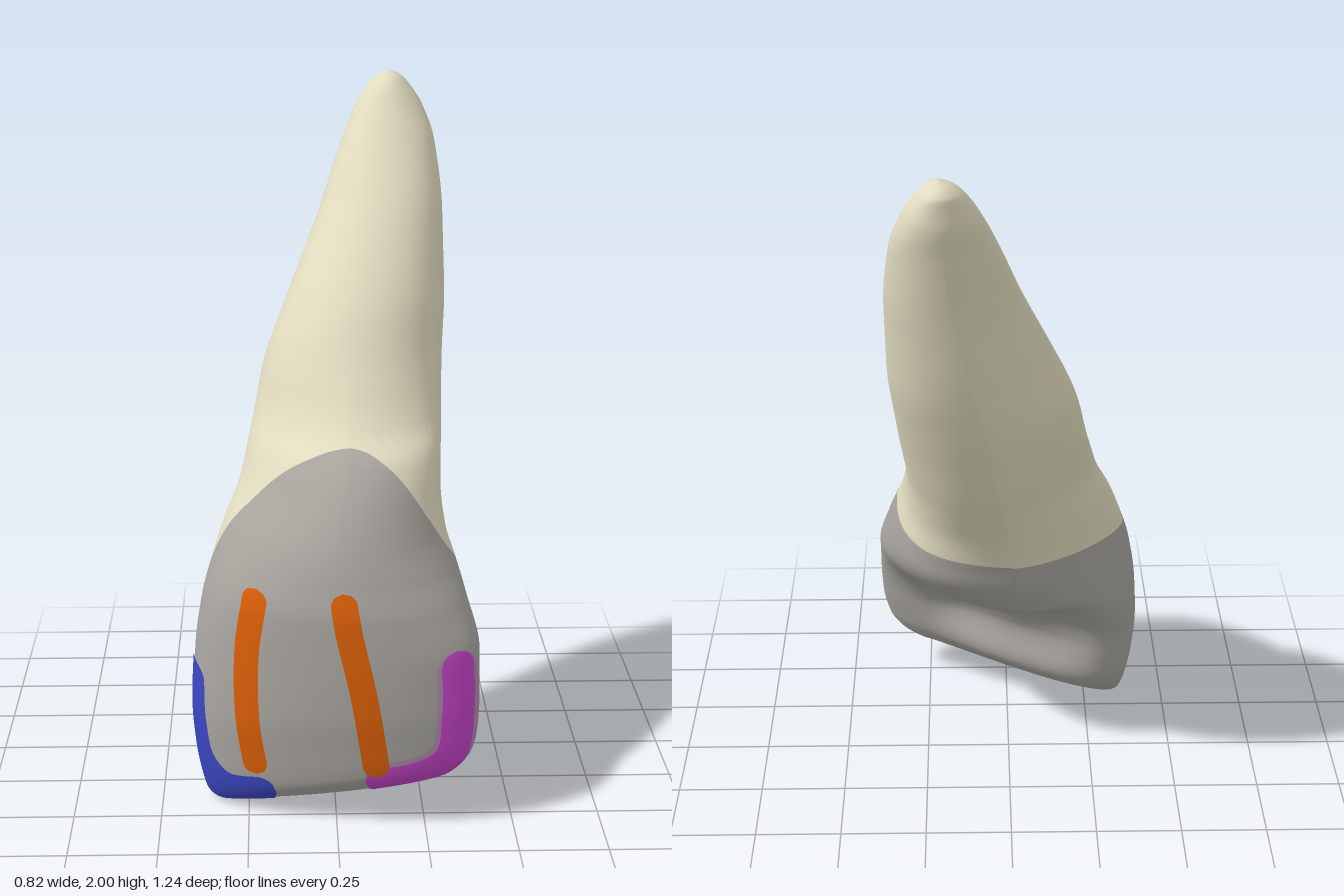
import * as THREE from 'three';

const paint = (name, color) => new THREE.MeshStandardMaterial({ name, color });

// Horizontal sections: height, min x, max x, front z, side z, back z
const LEVELS = [
  [0, -0.31, 0.27, 0.435, 0.435, 0.435],
  [0.01, -0.345, 0.305, 0.495, 0.435, 0.385],
  [0.03, -0.363, 0.34, 0.54, 0.435, 0.35],
  [0.08, -0.38, 0.378, 0.57, 0.435, 0.3],
  [0.18, -0.4, 0.4, 0.585, 0.425, 0.235],
  [0.3, -0.41, 0.405, 0.597, 0.405, 0.16],
  [0.45, -0.403, 0.405, 0.6, 0.375, -0.04],
  [0.6, -0.38, 0.375, 0.595, 0.33, -0.15],
  [0.7, -0.35, 0.35, 0.575, 0.28, -0.18],
  [0.8, -0.315, 0.318, 0.54, 0.225, -0.22],
  [0.9, -0.27, 0.308, 0.485, 0.16, -0.28],
  [1.0, -0.245, 0.315, 0.4, 0.07, -0.34],
  [1.06, -0.23, 0.32, 0.295, 0.01, -0.37],
  [1.2, -0.2, 0.33, 0.18, -0.1, -0.435],
  [1.4, -0.12, 0.345, 0.04, -0.22, -0.505],
  [1.6, -0.035, 0.345, -0.13, -0.34, -0.555],
  [1.8, 0.04, 0.325, -0.315, -0.45, -0.6],
  [1.9, 0.085, 0.29, -0.4, -0.51, -0.62],
  [1.96, 0.125, 0.25, -0.45, -0.535, -0.62],
  [1.985, 0.155, 0.225, -0.485, -0.545, -0.6],
  [2.0, 0.19, 0.19, -0.545, -0.545, -0.545],
];
const { clamp, smoothstep, lerp } = THREE.MathUtils;

// Monotone cubic interpolation between the sections
function section(t) {
  let i = 0;
  while (i < LEVELS.length - 2 && t > LEVELS[i + 1][0]) i++;
  const h = LEVELS[i + 1][0] - LEVELS[i][0];
  const q = clamp((t - LEVELS[i][0]) / h, 0, 1);
  const secant = (j, c) => {
    j = clamp(j, 0, LEVELS.length - 2);
    return (LEVELS[j + 1][c] - LEVELS[j][c]) / (LEVELS[j + 1][0] - LEVELS[j][0]);
  };
  const slope = (j, c) => {
    const a = secant(j - 1, c), b = secant(j, c);
    return a * b > 0 ? (2 * a * b) / (a + b) : 0;
  };
  return [1, 2, 3, 4, 5].map((c) => {
    const q2 = q * q, q3 = q2 * q;
    return (2 * q3 - 3 * q2 + 1) * LEVELS[i][c] + (3 * q2 - 2 * q3) * LEVELS[i + 1][c]
      + h * ((q3 - 2 * q2 + q) * slope(i, c) + (q3 - q2) * slope(i + 1, c));
  });
}

// Section exponents (below 1 boxy, above 1 pinched); side > 0 is the tooth's left
function frontRound(t, side) {
  const neck = smoothstep(t, 0.65, 0.95), root = smoothstep(t, 1.05, 1.35);
  return side > 0 ? lerp(1.06, 0.97, root) : lerp(lerp(0.93, 1.18, neck), 0.97, root);
}
function backRound(t, side) {
  if (side > 0) return lerp(1, 0.82, smoothstep(t, 0.35, 0.6)) + 0.18 * smoothstep(t, 1.2, 1.95);
  return lerp(0.92, 1.35, smoothstep(t, 0.05, 0.3)) + 0.15 * smoothstep(t, 0.3, 0.5)
    - 0.5 * smoothstep(t, 1.5, 1.95);
}
const edgeTilt = (t) => 0.2 * Math.max(0, 1 - t / 0.7);
const power = (v, p) => Math.sign(v) * Math.abs(v) ** p;

// Point on the tooth at an angle around it and a level up it
function toothPoint(angle, t) {
  const [x0, x1, zFront, zSide, zBack] = section(t);
  const sin = Math.sin(angle), cos = Math.cos(angle);
  const p = sin > 0 ? frontRound(t, cos) : backRound(t, cos);
  const xn = power(cos, p);
  const x = (x0 + x1) / 2 + ((x1 - x0) / 2) * xn;
  const shear = lerp(0.23, 0.15, smoothstep(t, 0.4, 0.9)) - 0.28 * smoothstep(t, 0.9, 1.35);
  let z = zSide + shear * (x - (x0 + x1) / 2);
  if (sin > 0) z += (zFront - zSide) * power(sin, p);
  else {
    const skew = 0.6 - 0.78 * smoothstep(t, 0.2, 0.65) + 0.18 * smoothstep(t, 0.9, 1.3);
    z += (zSide - zBack) * (1 - skew * xn) * power(sin, p);
    // scooped hollow behind the biting edge
    z += 0.1 * Math.exp(-((xn / 0.6) ** 4)) * smoothstep(t, 0.06, 0.24) * (1 - smoothstep(t, 0.37, 0.49));
  }
  return new THREE.Vector3(x, t + edgeTilt(t) * (x + 0.31), z);
}

function toothNormal(angle, t) {
  const s = clamp(t, 0.004, 1.996), e = 0.003;
  const up = toothPoint(angle, s + e).sub(toothPoint(angle, s - e));
  const around = toothPoint(angle + 0.04, s).sub(toothPoint(angle - 0.04, s));
  return up.cross(around).normalize();
}

// Grid mesh lying on the tooth surface, raised by lift
function skin(name, material, map, nu, nv, lift = 0) {
  const pos = [], nor = [], index = [];
  for (let i = 0; i <= nu; i++) {
    for (let j = 0; j <= nv; j++) {
      const [angle, t] = map(i / nu, j / nv);
      const n = toothNormal(angle, t);
      pos.push(...toothPoint(angle, t).addScaledVector(n, lift).toArray());
      nor.push(...n.toArray());
      if (i < nu && j < nv) {
        const a = i * (nv + 1) + j, c = a + nv + 1;
        index.push(a, a + 1, c, c, a + 1, c + 1);
      }
    }
  }
  const g = new THREE.BufferGeometry();
  g.setAttribute('position', new THREE.Float32BufferAttribute(pos, 3));
  g.setAttribute('normal', new THREE.Float32BufferAttribute(nor, 3));
  g.setIndex(index);
  const mesh = new THREE.Mesh(g, material);
  mesh.name = name;
  return mesh;
}

// Surface coordinates of a front-facing x, y position
function locate(x, y) {
  let t = y;
  for (let i = 0; i < 25; i++) t = clamp(y - edgeTilt(t) * (x + 0.31), 0.004, 1.9);
  const [x0, x1] = section(t);
  const xn = clamp((2 * x - x0 - x1) / (x1 - x0), -0.998, 0.998);
  return [Math.acos(power(xn, 1 / frontRound(t, xn))), t];
}

// Round-ended painted stroke along a path on the front
function stroke(name, material, points, halfWidth, lift) {
  const path = new THREE.CatmullRomCurve3(points.map(([x, y]) => new THREE.Vector3(x, y, 0)));
  const length = path.getLength();
  return skin(name, material, (u, v) => {
    const c = path.getPointAt(u), d = path.getTangentAt(u);
    const end = Math.min(1, (Math.min(u, 1 - u) * length) / halfWidth);
    const w = halfWidth * Math.sqrt(1 - (1 - end) ** 2) * (2 * v - 1);
    return locate(c.x + d.y * w, c.y - d.x * w);
  }, 72, 16, lift);
}

export function createModel() {
  const enamel = paint('grey enamel', 0xa8a59f);
  const cream = paint('cream root', 0xe1dbbf);
  const orange = paint('orange', 0xda5f08);
  const magenta = paint('magenta', 0xc744ca);
  const blue = paint('blue', 0x3c46c2);
  const mauve = paint('pale mauve', 0xb08cae);

  const tooth = new THREE.Group();
  tooth.name = 'tooth';

  // Gum line arches up at the front and dips a little at the right back
  const gumLine = (angle) => 0.72
    + 0.32 * Math.max(0, Math.sin(angle)) ** (Math.cos(angle) > 0 ? 1.4 : 0.85)
    - 0.06 * Math.max(0, -Math.cos(angle - 0.5)) ** 2;
  tooth.add(
    skin('crown', enamel, (u, v) => {
      const a = u * Math.PI * 2;
      return [a, gumLine(a) * (1 - Math.cos((v * Math.PI) / 2))];
    }, 144, 90),
    skin('root', cream, (u, v) => {
      const a = u * Math.PI * 2, g = gumLine(a);
      return [a, g + (2 - g) * Math.sin((v * Math.PI) / 2)];
    }, 144, 64),
  );

  // Painted marks on the front of the crown
  const cornerPath = [[0.333, 0.52], [0.338, 0.35], [0.315, 0.21], [0.22, 0.155], [0.08, 0.135]];
  tooth.add(
    stroke('rightGroove', orange, [[-0.222, 0.68], [-0.25, 0.5], [-0.25, 0.3], [-0.225, 0.13]], 0.034, 0.004),
    stroke('leftGroove', orange, [[0.015, 0.695], [0.03, 0.6], [0.075, 0.4], [0.115, 0.155]], 0.037, 0.006),
    stroke('leftCornerHalo', mauve, cornerPath, 0.06, 0.002),
    stroke('leftCorner', magenta, cornerPath, 0.046, 0.004),
    stroke('rightCorner', blue, [[-0.425, 0.42], [-0.42, 0.25], [-0.392, 0.13], [-0.32, 0.065], [-0.17, 0.075]], 0.052, 0.004),
  );
  return tooth;
}
